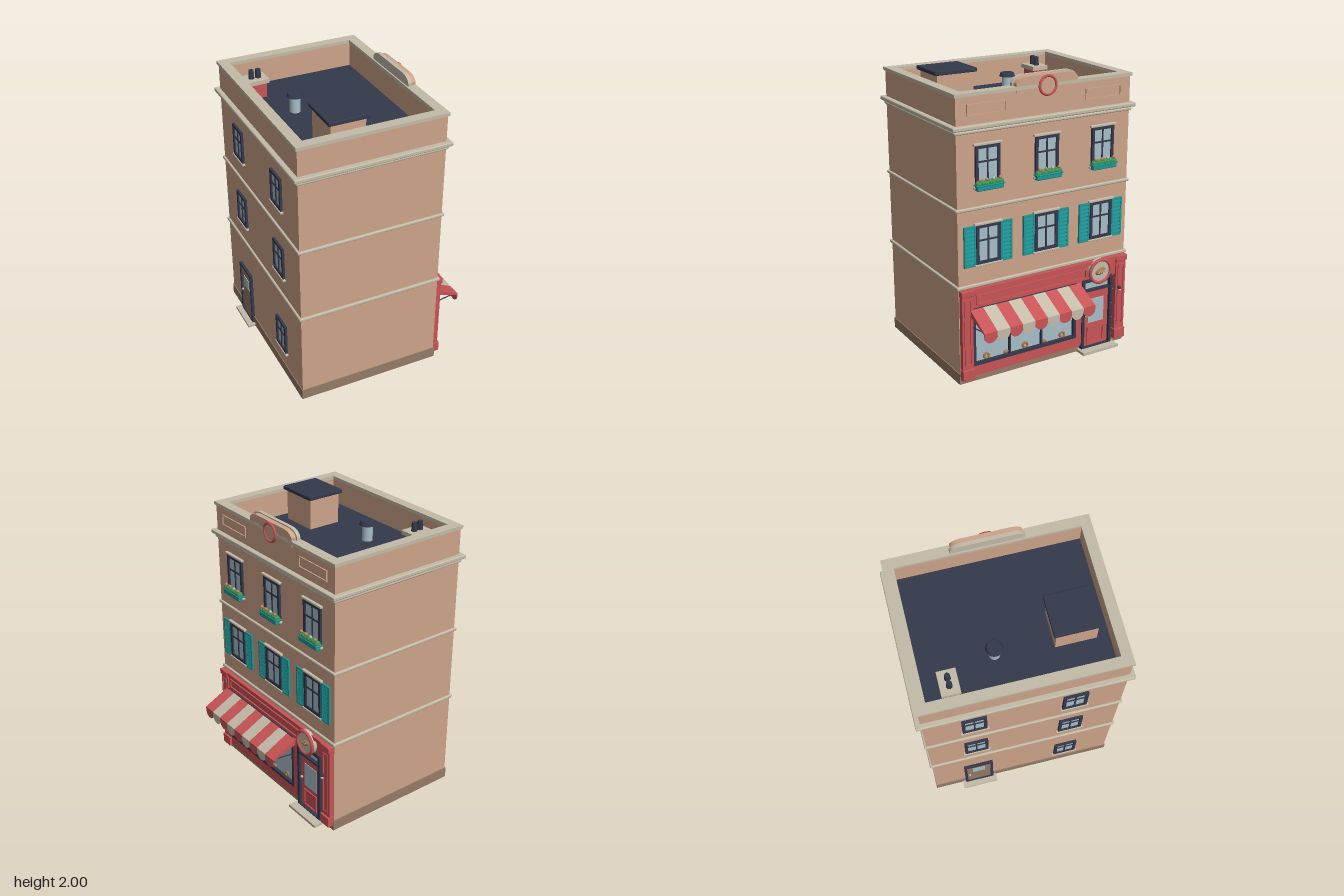
import * as THREE from 'three';
import { RoundedBoxGeometry } from 'three/addons/geometries/RoundedBoxGeometry.js';

const mat = (name, color) => Object.assign(new THREE.MeshStandardMaterial({ color }), { name });
const M = {
  wall: mat('tan wall', 0xcda48a), stone: mat('pale stone', 0xc4bba8), red: mat('shop red', 0xc85355),
  teal: mat('teal paint', 0x1f9696), glass: mat('window glass', 0xa8bec6), navy: mat('dark navy', 0x34394c),
  brown: mat('plinth brown', 0x957a66), green: mat('leaf green', 0x3f9455), bread: mat('bread crust', 0xa8764e),
  flower: mat('coral flower', 0xdb7a66),
};

function add(parent, name, geo, material, x = 0, y = 0, z = 0) {
  const m = new THREE.Mesh(geo, material);
  m.name = name;
  m.position.set(x, y, z);
  parent.add(m);
  return m;
}
// Box from its limits, optionally with rounded edges
function box(p, name, m, x0, x1, y0, y1, z0, z1, r = 0) {
  const s = [x1 - x0, y1 - y0, z1 - z0];
  const g = r ? new RoundedBoxGeometry(...s, 2, r) : new THREE.BoxGeometry(...s);
  return add(p, name, g, m, (x0 + x1) / 2, (y0 + y1) / 2, (z0 + z1) / 2);
}
function group(p, name, x = 0, y = 0, z = 0) {
  const g = new THREE.Group();
  g.name = name;
  g.position.set(x, y, z);
  p.add(g);
  return g;
}
// Four bars around a rectangle in the y-z plane
function frame(p, name, m, x0, x1, y0, y1, z0, z1, t) {
  box(p, name, m, x0, x1, y1 - t, y1, z0, z1);
  box(p, name, m, x0, x1, y0, y0 + t, z0, z1);
  box(p, name, m, x0, x1, y0 + t, y1 - t, z0, z0 + t);
  box(p, name, m, x0, x1, y0 + t, y1 - t, z1 - t, z1);
}
// Disc or pipe lying along x
const discX = (r, d, n = 32) => new THREE.CylinderGeometry(r, r, d, n).rotateZ(Math.PI / 2);
const ringX = (r, t) => new THREE.TorusGeometry(r, t, 10, 36).rotateY(Math.PI / 2);
// Shape drawn in (-z, y), pushed out along +x
const extrudeX = (shape, depth) =>
  new THREE.ExtrudeGeometry(shape, { depth, bevelEnabled: false, curveSegments: 12 }).rotateY(Math.PI / 2);

// Sash window facing +x, origin at the middle of its foot on the wall
function sashWindow(p, name, x, y, z, w, h, lintel = true) {
  const g = group(p, name, x, y, z), a = w / 2;
  box(g, 'pane', M.glass, 0, 0.006, 0.01, h - 0.01, -a + 0.01, a - 0.01);
  frame(g, 'windowFrame', M.navy, 0, 0.016, 0, h, -a, a, 0.02);
  box(g, 'mullion', M.navy, 0, 0.012, 0.02, h - 0.02, -0.005, 0.005);
  box(g, 'glazingBar', M.navy, 0, 0.012, h * 0.58, h * 0.58 + 0.011, -a + 0.02, a - 0.02);
  if (lintel) box(g, 'lintel', M.stone, 0, 0.022, h, h + 0.016, -a - 0.014, a + 0.014, 0.004);
  box(g, 'sill', M.stone, 0, 0.022, -0.014, 0, -a - 0.014, a + 0.014, 0.004);
  return g;
}

function shutter(p, z) {
  const g = group(p, 'shutter', 0, 0, z);
  box(g, 'shutterBoard', M.teal, 0, 0.008, -0.01, 0.262, -0.042, 0.042);
  frame(g, 'shutterRail', M.teal, 0, 0.014, -0.01, 0.262, -0.042, 0.042, 0.012);
  for (let i = 0; i < 9; i++) {
    const s = box(g, 'slat', M.teal, 0.005, 0.013, 0.012 + i * 0.027, 0.028 + i * 0.027, -0.03, 0.03);
    s.rotation.z = 0.3;
  }
}

function flowerBox(p) {
  const g = group(p, 'flowerBox');
  box(g, 'planter', M.teal, 0.008, 0.05, -0.02, 0.014, -0.095, 0.095, 0.006);
  box(g, 'planterRim', M.teal, 0.005, 0.054, 0.008, 0.018, -0.101, 0.101, 0.004);
  const leaf = new THREE.SphereGeometry(0.022, 12, 8);
  for (let i = 0; i < 7; i++) {
    add(g, 'leaves', leaf, M.green, 0.03, 0.022 + (i % 2) * 0.005, (i - 3) * 0.026);
    if (i % 2 === 0) add(g, 'blossom', new THREE.SphereGeometry(0.011, 10, 8), i === 2 ? M.stone : M.flower,
      0.04, 0.05, (i - 3) * 0.024);
  }
}

function shopfront(root) {
  const g = group(root, 'shopfront'), X = 0.42;
  box(g, 'fascia', M.red, X, 0.445, 0.53, 0.665, -0.645, 0.645);
  frame(g, 'fasciaMoulding', M.red, 0.44, 0.455, 0.55, 0.62, -0.32, 0.54, 0.009);
  box(g, 'fasciaCornice', M.red, X, 0.46, 0.64, 0.665, -0.645, 0.645);
  box(g, 'stallRiser', M.red, X, 0.45, 0.05, 0.125, -0.25, 0.57);
  box(g, 'doorPost', M.red, X, 0.45, 0.05, 0.53, -0.285, -0.24);
  for (const z of [0.605, -0.605]) {
    box(g, 'pilaster', M.red, X, 0.455, 0.07, 0.66, z - 0.04, z + 0.04);
    box(g, 'pilasterFoot', M.red, X, 0.468, 0.035, 0.11, z - 0.045, z + 0.045, 0.005);
    box(g, 'pilasterHead', M.red, X, 0.466, 0.625, 0.665, z - 0.045, z + 0.045, 0.005);
    frame(g, 'pilasterMoulding', M.red, 0.45, 0.461, 0.14, 0.6, z - 0.026, z + 0.026, 0.008);
  }
  // Display window
  box(g, 'displayGlass', M.glass, X, 0.428, 0.125, 0.53, -0.24, 0.565);
  frame(g, 'displayFrame', M.navy, X, 0.452, 0.12, 0.53, -0.24, 0.565, 0.02);
  for (const z of [0.285, 0.035]) box(g, 'displayMullion', M.navy, X, 0.445, 0.14, 0.51, z - 0.006, z + 0.006);
  box(g, 'displayTransom', M.navy, X, 0.443, 0.43, 0.442, -0.22, 0.545);
  for (let i = 0; i < 5; i++) {
    const z = 0.46 - i * 0.149;
    if (i % 2) add(g, 'loaf', new THREE.SphereGeometry(0.022, 14, 10).scale(0.5, 0.6, 1), M.bread, 0.434, 0.155, z);
    else {
      add(g, 'breadRing', ringX(0.017, 0.008), M.bread, 0.434, 0.166, z);
      add(g, 'breadCrumb', discX(0.012, 0.006, 16), M.stone, 0.432, 0.166, z);
    }
  }
  // Door
  const d = group(g, 'frontDoor', 0, 0, -0.413);
  frame(d, 'doorFrame', M.navy, X, 0.455, 0.005, 0.535, -0.125, 0.125, 0.022);
  box(d, 'doorLeaf', M.red, X, 0.435, 0.02, 0.445, -0.104, 0.104);
  box(d, 'fanlight', M.glass, X, 0.428, 0.455, 0.515, -0.104, 0.104);
  box(d, 'doorTransom', M.navy, X, 0.452, 0.442, 0.457, -0.104, 0.104);
  box(d, 'doorGlass', M.glass, 0.435, 0.439, 0.2, 0.38, -0.065, 0.065);
  frame(d, 'doorPanel', M.red, 0.435, 0.443, 0.04, 0.17, -0.07, 0.07, 0.01);
  add(d, 'doorKnob', new THREE.SphereGeometry(0.01, 12, 8), M.stone, 0.447, 0.26, 0.085);
  box(d, 'doorstep', M.stone, X, 0.515, 0, 0.02, -0.147, 0.147);
  // Wall lamp
  box(g, 'lampBracket', M.navy, 0.455, 0.468, 0.425, 0.435, -0.594, -0.584);
  add(g, 'lampCap', new THREE.SphereGeometry(0.013, 12, 8), M.navy, 0.47, 0.43, -0.589);
  add(g, 'lampBulb', new THREE.SphereGeometry(0.01, 12, 8), M.stone, 0.473, 0.412, -0.589);
  // Round hanging sign
  const s = group(g, 'roundSign', 0.445, 0.593, -0.413);
  add(s, 'signDisc', discX(0.085, 0.034, 40), M.stone, 0.017);
  add(s, 'signRim', ringX(0.082, 0.011), M.red, 0.034);
  const loaf = add(s, 'signLoaf', new THREE.SphereGeometry(0.042, 20, 12).scale(0.35, 0.55, 1), M.bread, 0.036);
  loaf.rotation.x = 0.3;
  for (let i = -1; i < 2; i++) {
    const c = box(s, 'loafScore', M.stone, 0.047, 0.052, -0.012, 0.014, i * 0.017 - 0.003, i * 0.017 + 0.003);
    c.rotation.x = -0.5;
  }
}

function awning(root) {
  const g = group(root, 'awning'), n = 9, z0 = -0.265, w = 0.85 / n;
  const slope = new THREE.Shape([[0.445, 0.53], [0.445, 0.487], [0.635, 0.424], [0.635, 0.435]]
    .map(([x, y]) => new THREE.Vector2(x, y)));
  const flap = new THREE.Shape();
  flap.moveTo(-w / 2, 0);
  flap.lineTo(-w / 2, -0.025);
  flap.absarc(0, -0.025, w / 2, Math.PI, 2 * Math.PI, false);
  flap.lineTo(w / 2, 0);
  for (let i = 0; i < n; i++) {
    const m = i % 2 ? M.stone : M.red;
    add(g, 'awningStripe', new THREE.ExtrudeGeometry(slope, { depth: w, bevelEnabled: false }), m, 0, 0, z0 + i * w);
    add(g, 'awningScallop', extrudeX(flap, 0.006), m, 0.63, 0.435, z0 + (i + 0.5) * w);
  }
  for (const z of [z0 + 0.02, z0 + 0.83]) {
    const arm = new THREE.LineCurve3(new THREE.Vector3(0.44, 0.4, z), new THREE.Vector3(0.63, 0.428, z));
    add(g, 'awningArm', new THREE.TubeGeometry(arm, 1, 0.004, 8), M.navy);
  }
}

function crest(root) {
  const g = group(root, 'parapetCrest');
  const outline = (a, top) => {
    const s = new THREE.Shape();
    s.moveTo(-a, 1.89);
    s.lineTo(-a, 1.95);
    s.quadraticCurveTo(-a + 0.015, top - 0.005, -a + 0.075, top);
    s.lineTo(a - 0.075, top);
    s.quadraticCurveTo(a - 0.015, top - 0.005, a, 1.95);
    s.lineTo(a, 1.89);
    return s;
  };
  add(g, 'crestBack', extrudeX(outline(0.24, 1.995), 0.025), M.stone, 0.37);
  add(g, 'crestFace', extrudeX(outline(0.228, 1.987), 0.034), M.wall, 0.395);
  add(g, 'medallionRing', ringX(0.06, 0.009), M.red, 0.432, 1.918);
  add(g, 'medallionDisc', discX(0.057, 0.012), M.wall, 0.428, 1.918);
}

function roofDetails(root) {
  const g = group(root, 'roofDetails'), Y = 1.735;
  box(g, 'stairHouse', M.wall, -0.305, -0.07, Y, 1.945, 0.255, 0.52);
  box(g, 'stairHouseRoof', M.navy, -0.325, -0.05, 1.945, 1.972, 0.235, 0.54, 0.006);
  box(g, 'chimney', M.red, -0.475, -0.345, Y, 1.84, -0.475, -0.385);
  box(g, 'chimneyCap', M.stone, -0.49, -0.33, 1.84, 1.868, -0.49, -0.37);
  for (const x of [-0.434, -0.386])
    add(g, 'chimneyPot', new THREE.CylinderGeometry(0.017, 0.02, 0.06, 16), M.navy, x, 1.897, -0.43);
  add(g, 'ventPipe', new THREE.CylinderGeometry(0.036, 0.036, 0.11, 20), M.glass, -0.26, Y + 0.055, -0.115);
  add(g, 'ventCap', new THREE.CylinderGeometry(0.045, 0.055, 0.025, 24), M.navy, -0.26, 1.856, -0.115);
}

export function createModel() {
  const root = new THREE.Group();
  root.name = 'cornerShopBuilding';
  // Walls, plinth and stone bands
  box(root, 'walls', M.wall, -0.58, 0.42, 0.07, 1.72, -0.65, 0.65);
  box(root, 'plinth', M.brown, -0.586, 0.428, 0, 0.075, -0.656, 0.656);
  for (const [y, h, o] of [[0.677, 0.024, 0.014], [1.195, 0.022, 0.014], [1.688, 0.02, 0.014], [1.718, 0.028, 0.033]])
    box(root, 'stoneBand', M.stone, -0.58 - o, 0.42 + o, y - h / 2, y + h / 2, -0.65 - o, 0.65 + o, 0.008);
  box(root, 'roofDeck', M.navy, -0.53, 0.38, 1.7, 1.736, -0.61, 0.61);
  // Parapet and its coping
  for (const [n, m, y0, y1, o, t] of [['parapet', M.wall, 1.72, 1.91, 0, 0.05], ['coping', M.stone, 1.908, 1.93, 0.01, 0.07]]) {
    const a = -0.58 - o, b = 0.42 + o, c = 0.65 + o;
    box(root, n, m, a, a + t, y0, y1, -c, c);
    box(root, n, m, b - t, b, y0, y1, -c, c);
    for (const s of [-1, 1]) box(root, n, m, a + t, b - t, y0, y1, s * (c - t / 2) - t / 2, s * (c - t / 2) + t / 2);
  }
  for (const s of [-1, 1]) frame(root, 'parapetPanel', M.wall, 0.415, 0.428, 1.785, 1.86, s * 0.435 - 0.14, s * 0.435 + 0.14, 0.008);
  crest(root);
  roofDetails(root);
  shopfront(root);
  awning(root);
  // Street windows with shutters below and flower boxes above
  for (const z of [-0.435, 0, 0.435]) {
    const lower = sashWindow(root, 'shutteredWindow', 0.42, 0.82, z, 0.175, 0.262);
    for (const s of [-1, 1]) shutter(lower, s * 0.133);
    flowerBox(sashWindow(root, 'flowerWindow', 0.42, 1.335, z, 0.175, 0.262));
  }
  // Yard side: plain windows and back door
  for (const [y, z] of [[0.205, 0.325], [0.835, 0.325], [0.835, -0.325], [1.355, 0.325], [1.355, -0.325]])
    sashWindow(root, 'backWindow', -0.58, y, z, 0.16, 0.23, false).rotation.y = Math.PI;
  const d = group(root, 'backDoor', -0.58, 0, -0.325);
  d.rotation.y = Math.PI;
  box(d, 'backDoorLeaf', M.brown, 0, 0.01, 0.02, 0.42, -0.09, 0.09);
  frame(d, 'backDoorFrame', M.navy, 0, 0.02, 0.01, 0.435, -0.105, 0.105, 0.018);
  box(d, 'backDoorGlass', M.glass, 0.01, 0.014, 0.26, 0.35, -0.045, 0.045);
  add(d, 'backDoorKnob', new THREE.SphereGeometry(0.009, 10, 8), M.stone, 0.017, 0.21, 0.07);
  box(d, 'backStep', M.stone, 0, 0.06, 0, 0.02, -0.127, 0.127);
  return root;
}
